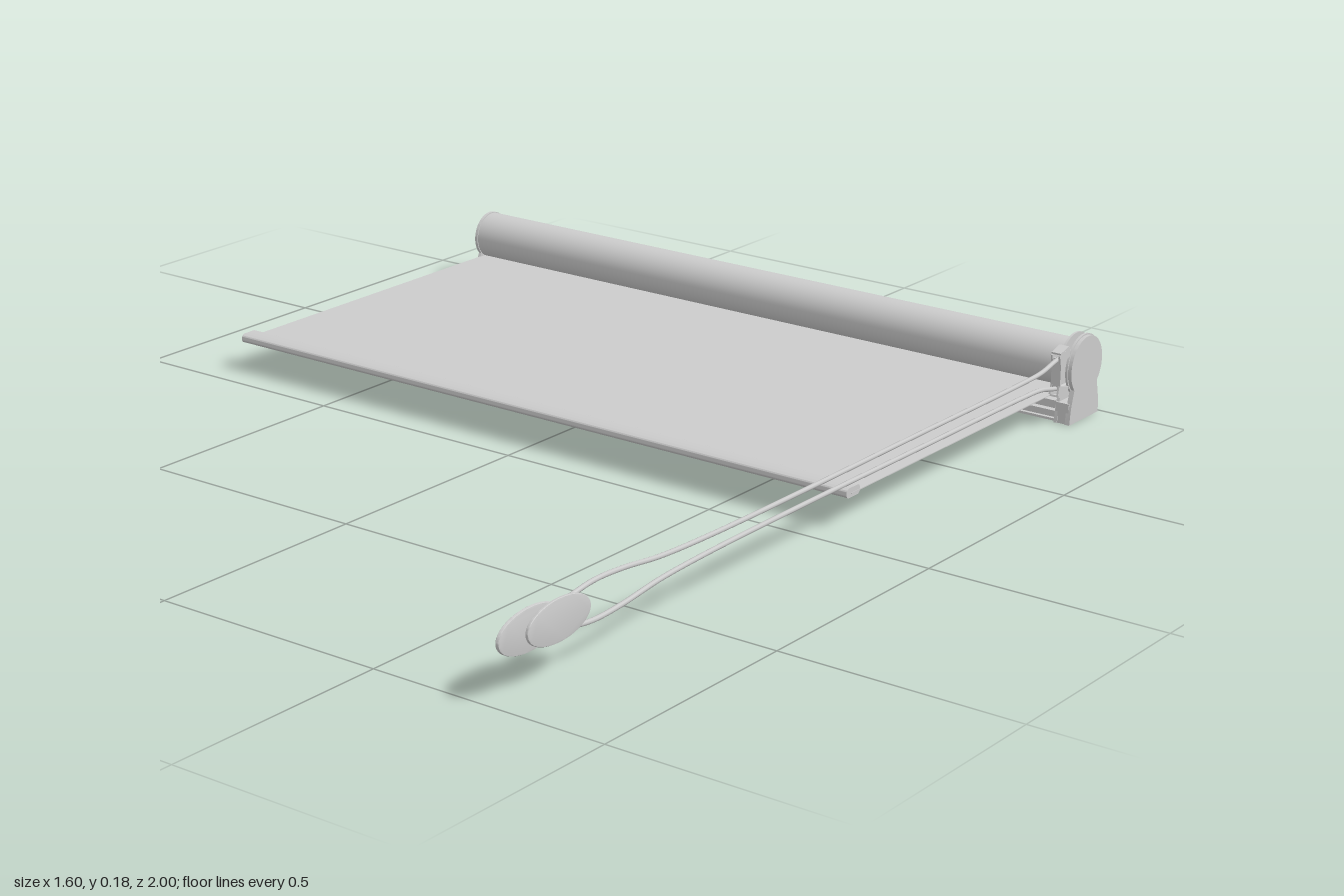
import * as THREE from 'three';
import { toCreasedNormals } from 'three/addons/utils/BufferGeometryUtils.js';

const grey = new THREE.MeshStandardMaterial({ color: 0xcccccc });
const thin = new THREE.MeshStandardMaterial({ color: 0xcccccc, side: THREE.DoubleSide });
const AY = 0.117, AZ = -0.933; // roller axis

export function createModel() {
  const model = new THREE.Group();

  const add = (name, geometry, material = grey) => {
    const mesh = new THREE.Mesh(geometry, material);
    mesh.name = name;
    model.add(mesh);
    return mesh;
  };
  // Extrude a side profile (u = -z, v = y) along x from x0 to x1
  const slab = (name, shape, x0, x1) => {
    const g = new THREE.ExtrudeGeometry(shape, { depth: x1 - x0, bevelEnabled: false, curveSegments: 32 });
    g.rotateY(Math.PI / 2).translate(x0, 0, 0);
    return add(name, toCreasedNormals(g, 0.6));
  };
  const polygon = (points) => new THREE.Shape(points.map(([u, v]) => new THREE.Vector2(u, v)));
  const disc = (name, r, x0, x1, sides = 48) => {
    const g = new THREE.CylinderGeometry(r, r, x1 - x0, sides);
    g.rotateZ(Math.PI / 2).translate((x0 + x1) / 2, AY, AZ);
    return add(name, g);
  };
  // End bracket: round head, narrow neck and flared foot
  const bracketShape = (r) => {
    const s = new THREE.Shape();
    s.moveTo(0.872, 0);
    s.lineTo(0.992, 0);
    s.lineTo(0.99, 0.03);
    s.quadraticCurveTo(0.986, 0.05, -AZ + r * Math.cos(-0.75), AY + r * Math.sin(-0.75));
    s.absarc(-AZ, AY, r, -0.75, Math.PI + 0.75, false);
    s.quadraticCurveTo(0.879, 0.05, 0.875, 0.03);
    return s;
  };

  // Roller with wound fabric
  disc('fabricRoll', 0.052, -0.795, 0.766, 64);

  // Mounting rail with grooves along its faces
  slab('mountingRail', polygon([
    [0.876, 0.002], [0.895, 0.002], [0.895, 0.010], [0.97, 0.010], [0.97, 0.002], [0.989, 0.002],
    [0.989, 0.028], [0.982, 0.030], [0.982, 0.035], [0.986, 0.037], [0.986, 0.042], [0.966, 0.045],
    [0.962, 0.036], [0.904, 0.036], [0.900, 0.045], [0.880, 0.045], [0.880, 0.034], [0.886, 0.032],
    [0.886, 0.026], [0.876, 0.024], [0.876, 0.014], [0.882, 0.012], [0.882, 0.008], [0.876, 0.007],
  ]), -0.795, 0.77);

  // End brackets
  slab('rightBracket', bracketShape(0.054), -0.8, -0.793);
  slab('leftBracket', bracketShape(0.064), 0.789, 0.8);
  slab('leftBracketInner', bracketShape(0.056), 0.763, 0.77);
  const foot = add('leftBracketFoot', new THREE.BoxGeometry(0.03, 0.045, 0.117));
  foot.position.set(0.78, 0.0225, AZ);

  // Cord clutch: two flanges around a wheel
  disc('clutchFlangeInner', 0.067, 0.768, 0.773);
  disc('clutchFlangeOuter', 0.067, 0.787, 0.792);
  disc('clutchWheel', 0.036, 0.77, 0.79);
  const pin = disc('rollerPin', 0.012, -0.802, -0.79, 24);
  pin.material = grey;

  // Cord guides at the front of the clutch
  for (const side of [1, -1]) {
    for (const x of [0.771, 0.789]) {
      const cheek = add('cordGuideCheek', new THREE.BoxGeometry(0.004, 0.02, 0.04));
      cheek.position.set(x, AY + side * 0.038, -0.855);
      cheek.rotation.x = side * 0.25;
    }
    const lip = add('cordGuideLip', new THREE.BoxGeometry(0.022, 0.004, 0.034));
    lip.position.set(0.78, AY + side * 0.05, -0.853);
    lip.rotation.x = side * 0.25;
  }
  const guard = add('cordGuideBar', new THREE.BoxGeometry(0.022, 0.07, 0.005));
  guard.position.set(0.78, AY, -0.842);

  // Fabric sheet leaving the underside of the roll
  const fabric = add('fabricSheet', new THREE.BoxGeometry(1.566, 0.002, 0.85), thin);
  fabric.position.set(-0.012, 0.071, -0.51);

  // Rounded hem bar
  const hem = new THREE.Shape();
  hem.absarc(0.079, 0.073, 0.01, Math.PI / 2, Math.PI * 1.5, false);
  hem.absarc(0.107, 0.073, 0.01, -Math.PI / 2, Math.PI / 2, false);
  slab('hemBar', hem, -0.797, 0.77);

  // Endless cord: around the clutch wheel, along both runs and through the handle
  const run = [[-0.9, 0.035], [-0.84, 0.031], [-0.78, 0.019], [-0.7, 0.016], [-0.3, 0.015], [0.1, 0.014],
    [0.4, 0.016], [0.55, 0.022], [0.66, 0.034], [0.74, 0.037], [0.8, 0.03], [0.86, 0.018]];
  const point = ([z, d], side) => new THREE.Vector3(0.78, AY + side * d, z);
  const path = new THREE.CatmullRomCurve3([
    point([-0.973, 0], 1), point([-0.955, 0.033], 1),
    ...run.map((p) => point(p, 1)), point([0.885, 0], 1),
    ...run.slice().reverse().map((p) => point(p, -1)), point([-0.955, 0.033], -1),
  ], true, 'centripetal');
  add('pullCord', new THREE.TubeGeometry(path, 400, 0.005, 8, true));

  // Pull handle: two overlapping oval plates on a pivot
  const plate = (name, z, x0, x1) => {
    const s = new THREE.Shape();
    s.absellipse(-z, AY, 0.085, 0.038, 0, Math.PI * 2);
    const g = new THREE.ExtrudeGeometry(s, {
      depth: x1 - x0 - 0.004, bevelThickness: 0.002, bevelSize: 0.003, bevelSegments: 2, curveSegments: 40,
    });
    g.rotateY(Math.PI / 2).translate(x0 + 0.002, 0, 0);
    add(name, toCreasedNormals(g, 0.6));
  };
  plate('handleFrontPlate', 0.85, 0.784, 0.791);
  plate('handleBackPlate', 0.912, 0.769, 0.777);
  const pivot = new THREE.CylinderGeometry(0.014, 0.014, 0.018, 24);
  pivot.rotateZ(Math.PI / 2).translate(0.78, AY, 0.87);
  add('handlePivot', pivot);

  return model;
}
